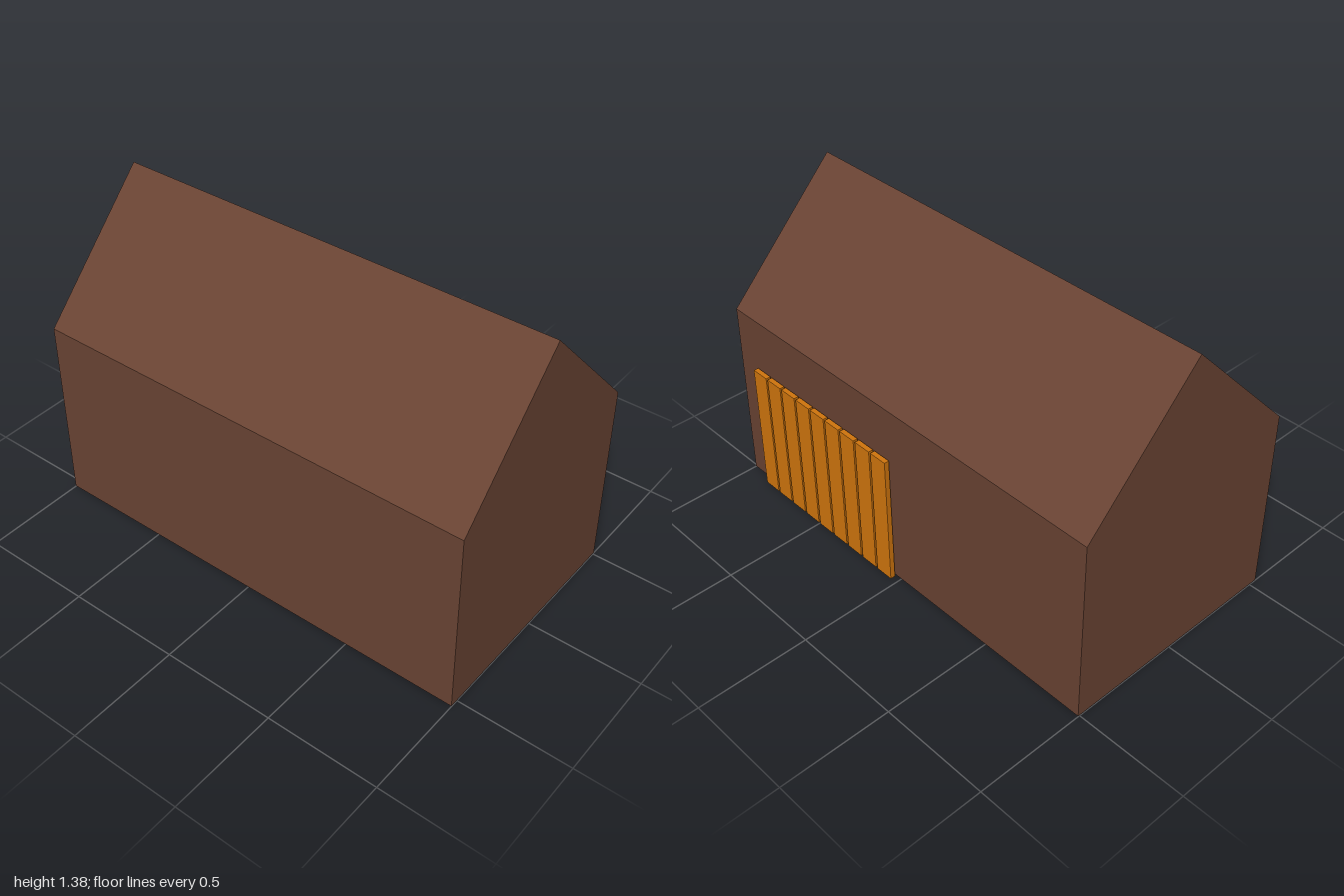
import * as THREE from 'three';

export function createModel() {
  const group = new THREE.Group();
  const brown = new THREE.MeshStandardMaterial({ name: 'barnBrown', color: 0x694333 });
  const orange = new THREE.MeshStandardMaterial({ name: 'slatOrange', color: 0xd0750d });

  // Gabled body: end profile drawn in (z, y), extruded along the length
  const profile = new THREE.Shape([
    [-0.537, 0.003], [0.508, 0.003], [0.508, 0.845], [-0.015, 1.382], [-0.537, 0.845],
  ].map(([a, b]) => new THREE.Vector2(a, b)));
  const bodyGeometry = new THREE.ExtrudeGeometry(profile, { depth: 2, bevelEnabled: false });
  bodyGeometry.translate(0, 0, -1).rotateY(Math.PI / 2);
  // After the turn, profile x runs along -z
  const body = new THREE.Mesh(bodyGeometry, brown);
  body.name = 'gabledBody';
  group.add(body);

  // Door of upright planks standing just off the back wall
  const door = new THREE.Group();
  door.name = 'plankDoor';
  const plankGeometry = new THREE.BoxGeometry(0.085, 0.61, 0.022);
  for (let i = 0; i < 9; i++) {
    const plank = new THREE.Mesh(plankGeometry, orange);
    plank.name = 'doorPlank';
    plank.position.set(0.074 + i * 0.095, 0.305, -0.526);
    door.add(plank);
  }
  group.add(door);
  return group;
}
